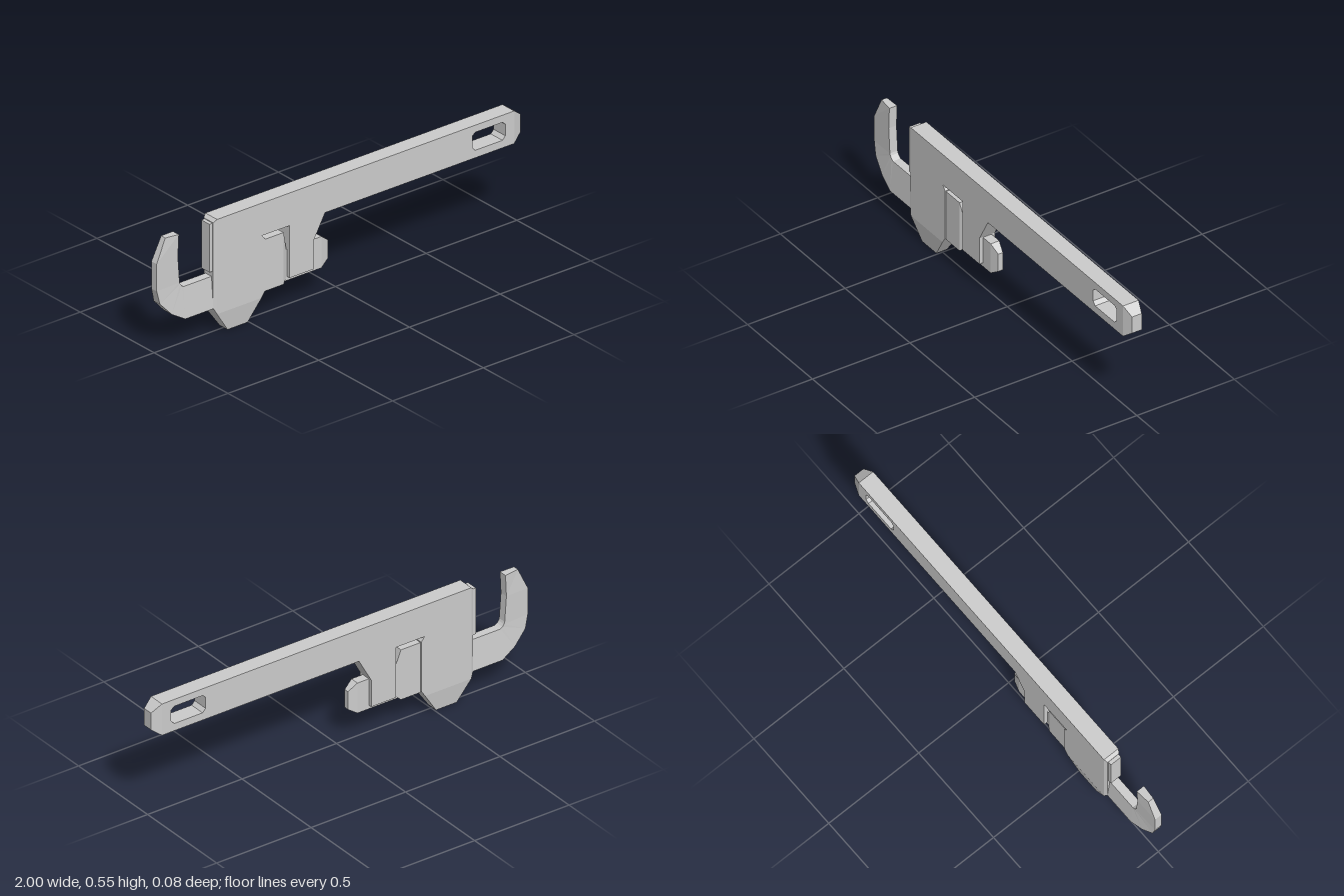
import * as THREE from 'three';

const material = new THREE.MeshStandardMaterial({ color: 0xcccccc, flatShading: true, side: THREE.DoubleSide });
const HALF = 0.04; // half thickness of the body

function addMesh(group, name, geometry) {
  const mesh = new THREE.Mesh(geometry, material);
  mesh.name = name;
  group.add(mesh);
}

// Four-sided loft; each station is [outerX, outerY, outerHalfZ, innerX, innerY, innerHalfZ]
function loft(stations) {
  const positions = [], index = [];
  for (const [ox, oy, ow, ix, iy, iw] of stations) {
    positions.push(ox, oy, -ow, ix, iy, -iw, ix, iy, iw, ox, oy, ow);
  }
  for (let s = 0; s < stations.length - 1; s++) {
    for (let k = 0; k < 4; k++) {
      const a = s * 4 + k, b = s * 4 + (k + 1) % 4;
      index.push(a, b, b + 4, a, b + 4, a + 4);
    }
  }
  const e = (stations.length - 1) * 4;
  index.push(0, 2, 1, 0, 3, 2, e, e + 1, e + 2, e, e + 2, e + 3);
  const indexed = new THREE.BufferGeometry();
  indexed.setAttribute('position', new THREE.Float32BufferAttribute(positions, 3));
  indexed.setIndex(index);
  const geometry = indexed.toNonIndexed();
  geometry.computeVertexNormals();
  return geometry;
}

const points = (list) => list.map(([x, y]) => new THREE.Vector2(x, y));

export function createModel() {
  const group = new THREE.Group();
  group.name = 'pipeWrench';

  // Handle, heel block and guide leg as one plate with a hanging slot
  const outline = new THREE.Shape(points([
    [-0.685, 0.1], [-0.44, 0.1], [-0.42, 0.13], [-0.42, 0.375], [-0.437, 0.397], [-0.285, 0.397],
    [-0.285, 0.147], [-0.155, 0.147], [-0.155, 0.28], [-0.09, 0.397],
    [0.953, 0.397], [0.953, 0.553], [-0.685, 0.553],
  ]));
  outline.holes.push(new THREE.Path(points([
    [0.722, 0.45], [0.722, 0.505], [0.738, 0.519], [0.888, 0.519],
    [0.904, 0.505], [0.904, 0.45], [0.888, 0.433], [0.738, 0.433],
  ])));
  const plate = new THREE.ExtrudeGeometry(outline, { depth: HALF * 2, bevelEnabled: false });
  plate.translate(0, 0, -HALF);
  addMesh(group, 'handleBody', plate);

  // Bevelled end of the handle
  addMesh(group, 'handleTip', loft([
    [0.953, 0.397, HALF, 0.953, 0.553, HALF],
    [1, 0.433, 0.025, 1, 0.517, 0.025],
  ]));

  // Tapered foot under the heel block
  addMesh(group, 'heelFoot', loft([
    [-0.685, 0.1, HALF, -0.44, 0.1, HALF],
    [-0.617, 0, 0.027, -0.507, 0, 0.027],
  ]));

  // Bevel on the jaw side of the body
  addMesh(group, 'heelBevel', loft([
    [-0.7, 0.13, 0.032, -0.7, 0.538, 0.032],
    [-0.685, 0.1, HALF, -0.685, 0.553, HALF],
  ]));

  // Fixed gripping plate
  const grip = new THREE.BoxGeometry(0.03, 0.23, 0.056);
  grip.translate(-0.702, 0.42, 0);
  addMesh(group, 'heelJaw', grip);

  // Hook jaw, from its tip round the bend and along the shank
  addMesh(group, 'hookJaw', loft([
    [-0.95, 0.538, 0.014, -0.88, 0.535, 0.02],
    [-1, 0.43, 0.018, -0.885, 0.43, 0.02],
    [-1, 0.3, 0.018, -0.876, 0.305, 0.02],
    [-0.985, 0.235, 0.021, -0.872, 0.295, 0.02],
    [-0.925, 0.17, 0.028, -0.864, 0.285, 0.02],
    [-0.855, 0.128, 0.033, -0.853, 0.278, 0.02],
    [-0.69, 0.128, 0.033, -0.69, 0.278, 0.02],
    [-0.5, 0.128, 0.022, -0.5, 0.278, 0.022],
    [-0.095, 0.128, 0.022, -0.095, 0.278, 0.022],
    [-0.052, 0.156, 0.012, -0.052, 0.245, 0.012],
  ]));

  // Adjusting nut with chamfered ends
  addMesh(group, 'adjustingNut', loft([
    [-0.435, 0.14, 0.026, -0.435, 0.35, 0.026],
    [-0.418, 0.124, 0.036, -0.418, 0.372, 0.036],
    [-0.315, 0.124, 0.036, -0.315, 0.372, 0.036],
    [-0.291, 0.145, 0.023, -0.291, 0.282, 0.023],
  ]));

  return group;
}
